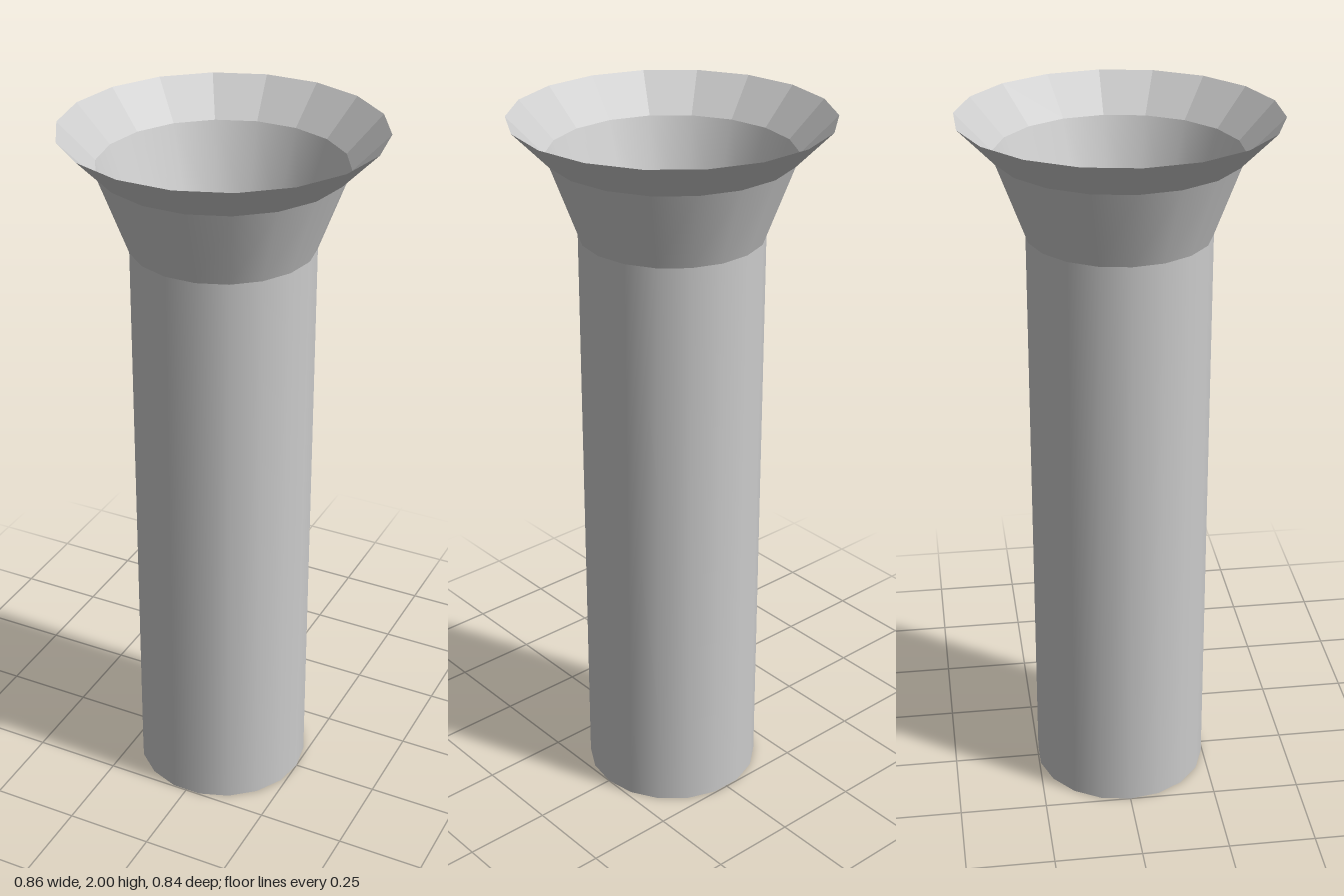
import * as THREE from 'three';

const SIDES = 18;

// One open ring of the funnel, between two heights
function ring(name, rBottom, rTop, y0, y1, flatShading) {
  const geometry = new THREE.CylinderGeometry(
    rTop, rBottom, y1 - y0, SIDES, 1, true, Math.PI / 2);
  geometry.translate(0, (y0 + y1) / 2, 0);
  const material = new THREE.MeshStandardMaterial({
    color: 0xcccccc, side: THREE.DoubleSide, flatShading });
  const mesh = new THREE.Mesh(geometry, material);
  mesh.name = name;
  return mesh;
}

export function createModel() {
  const group = new THREE.Group();
  group.name = 'flaredTube';
  group.add(
    ring('tube', 0.25, 0.25, 0, 1.68, false),      // straight open pipe
    ring('neck', 0.25, 0.332, 1.68, 1.9, false),   // gentle flare
    ring('rim', 0.332, 0.429, 1.9, 2, true)        // wide faceted lip
  );
  return group;
}
